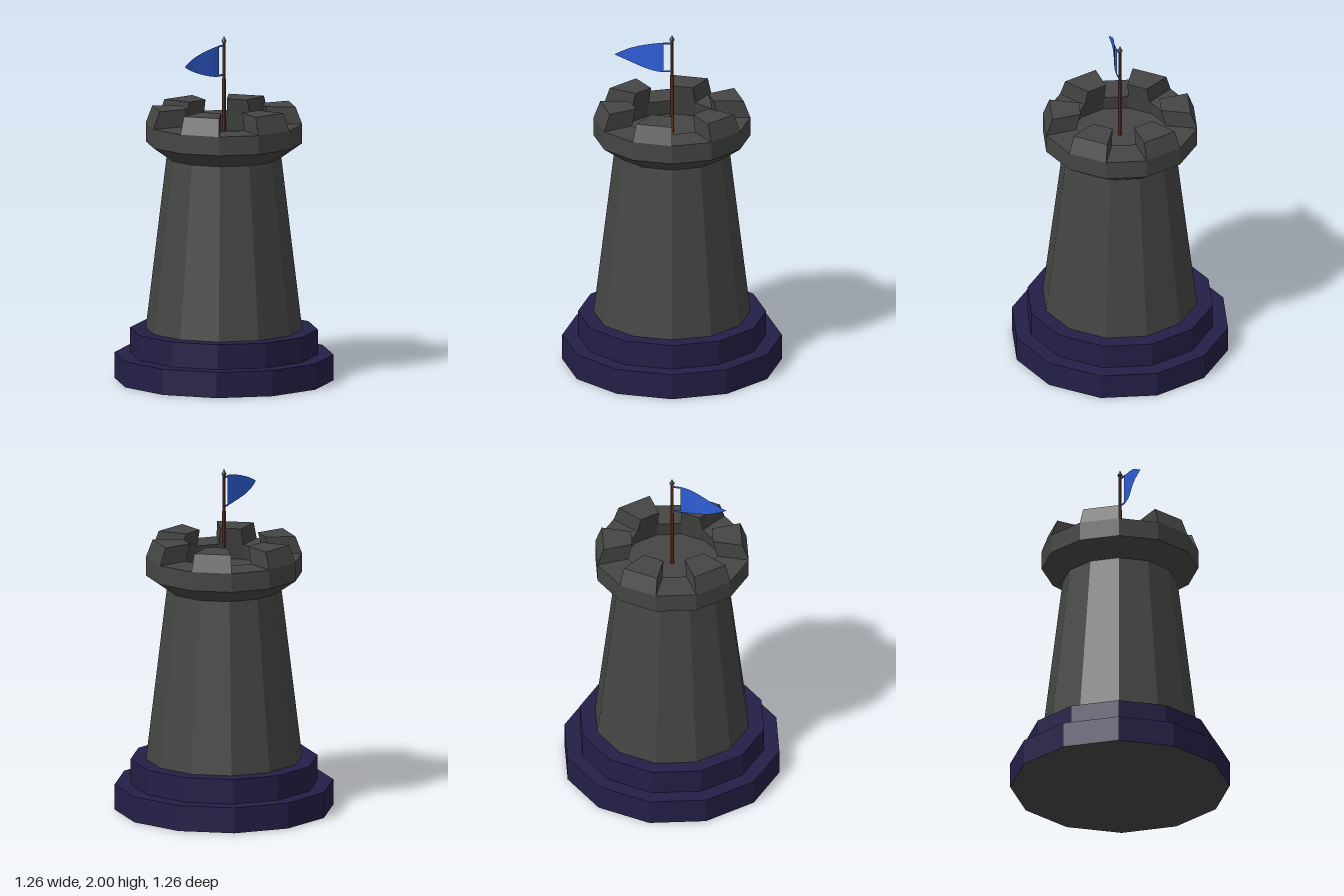
import * as THREE from 'three';

const SIDES = 12;
const mat = (color, side = THREE.FrontSide) =>
  new THREE.MeshStandardMaterial({ color, side, flatShading: true });

export function createModel() {
  const model = new THREE.Group();
  const stone = mat(0x444644);
  const plinthBlue = mat(0x241f47);
  const wood = mat(0x6b3a24);
  const iron = mat(0x3a3a3a);
  const cloth = mat(0x2f5fd8, THREE.DoubleSide);

  const add = (name, geometry, material, y = 0) => {
    const mesh = new THREE.Mesh(geometry, material);
    mesh.name = name;
    mesh.position.y = y;
    model.add(mesh);
    return mesh;
  };
  const lathe = (points) =>
    new THREE.LatheGeometry(points.map(([r, y]) => new THREE.Vector2(r, y)), SIDES);

  // Stepped plinth and its underside
  add('plinth', lathe([[0.63, 0], [0.63, 0.15], [0.54, 0.15], [0.54, 0.295], [0.4, 0.295]]), plinthBlue);
  add('underside', lathe([[0, 0], [0.63, 0]]), stone);

  // Tapered wall, flared crown, walkway and sunken roof floor
  add('tower', lathe([
    [0.45, 0.295], [0.33, 1.295], [0.45, 1.38], [0.45, 1.49],
    [0.265, 1.49], [0.285, 1.4], [0, 1.4],
  ]), stone);

  // Six merlons, each a box bent into every other side of the crown
  for (let k = 0; k < SIDES; k += 2) {
    const geo = new THREE.BoxGeometry(1, 1, 1);
    const p = geo.attributes.position;
    for (let i = 0; i < p.count; i++) {
      const phi = ((k + 0.5 + p.getX(i)) * 2 * Math.PI) / SIDES;
      const top = p.getY(i) > 0;
      const outer = p.getZ(i) > 0;
      const r = outer ? (top ? 0.412 : 0.45) : (top ? 0.24 : 0.265);
      p.setXYZ(i, r * Math.sin(phi), top ? 1.59 : 1.49, r * Math.cos(phi));
    }
    geo.computeVertexNormals();
    add('merlon', geo, stone);
  }

  // Flagpole in two thicknesses with a pointed finial
  add('poleLower', new THREE.CylinderGeometry(0.012, 0.012, 0.35, 8), wood, 1.575);
  add('poleUpper', new THREE.CylinderGeometry(0.008, 0.008, 0.22, 8), wood, 1.86);
  add('finial', lathe([[0, 1.955], [0.015, 1.968], [0, 2]]), iron);

  // Pennant: a plane tapered to a point and swept sideways
  const flag = new THREE.PlaneGeometry(1, 2, 14, 4);
  const p = flag.attributes.position;
  for (let i = 0; i < p.count; i++) {
    const t = p.getX(i) + 0.5;
    const half = 0.09 * (1 - Math.pow(t, 1.6));
    const sway = -0.025 * (1 - Math.cos(Math.PI * Math.min(1, t * 1.15)));
    p.setXYZ(i, sway, 1.86 + p.getY(i) * half, 0.05 + 0.28 * t);
  }
  flag.computeVertexNormals();
  add('flag', flag, cloth);

  // Ties holding the pennant to the pole
  for (const s of [1, -1]) {
    const tie = add('flagTie', new THREE.BoxGeometry(0.004, 0.01, 0.052), cloth, 1.86 + s * 0.085);
    tie.position.z = 0.026;
  }
  return model;
}
